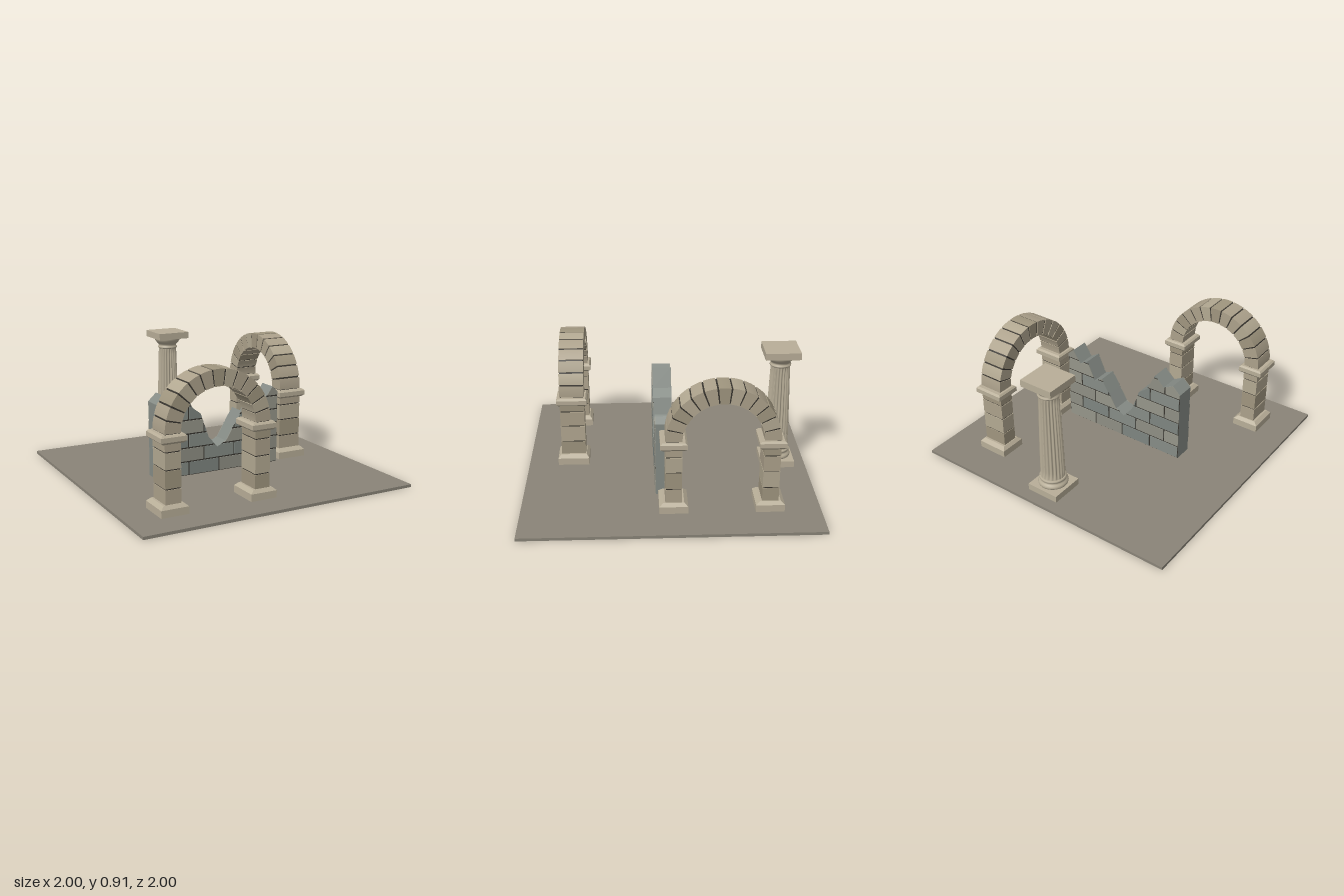
import * as THREE from 'three';

const mat = (color) => new THREE.MeshStandardMaterial({ color, roughness: 0.9 });
const STONE = [0xaca18b, 0xa0967f, 0xb3a992].map(mat);
const TRIM = mat(0xb8ae98);
const MORTAR = mat(0x38352f);
const WALL = [0x868c86, 0x8f8f84, 0x7e8580, 0x96968a].map(mat);
const GROUND = mat(0x8a8478);

function add(parent, name, geometry, material, x = 0, y = 0, z = 0) {
  const mesh = new THREE.Mesh(geometry, material);
  mesh.name = name;
  mesh.position.set(x, y, z);
  parent.add(mesh);
  return mesh;
}

// Box between heights y0 and y1 whose top may differ in size from its bottom
function block(w, d, y0, y1, topW = w, topD = d) {
  const g = new THREE.BoxGeometry(1, y1 - y0, 1);
  const p = g.attributes.position;
  for (let i = 0; i < p.count; i++) {
    const top = p.getY(i) > 0;
    p.setX(i, p.getX(i) * (top ? topW : w));
    p.setZ(i, p.getZ(i) * (top ? topD : d));
  }
  g.translate(0, (y0 + y1) / 2, 0);
  g.computeVertexNormals();
  return g;
}

function extrude(shape, depth, curveSegments = 6) {
  const g = new THREE.ExtrudeGeometry(shape, { depth, bevelEnabled: false, curveSegments });
  return g.translate(0, 0, -depth / 2);
}

function ringSector(r0, r1, a0, a1) {
  const s = new THREE.Shape();
  s.absarc(0, 0, r1, a0, a1, false);
  s.absarc(0, 0, r0, a1, a0, true);
  s.closePath();
  return s;
}

// Round arch on two piers, spanning x
function makeArch() {
  const arch = new THREE.Group();
  const springY = 0.535, rIn = 0.265, rOut = 0.375, depth = 0.174, inset = 0.005;
  const pierX = (rIn + rOut) / 2, pierW = rOut - rIn;
  const courses = [0.085, 0.19, 0.312, 0.425, 0.485];

  for (const side of [-1, 1]) {
    const pier = new THREE.Group();
    pier.name = side < 0 ? 'rightPier' : 'leftPier';
    pier.position.x = side * pierX;
    arch.add(pier);
    add(pier, 'pierBase', block(0.192, 0.224, 0.02, 0.07), TRIM);
    add(pier, 'pierBaseSlope', block(0.192, 0.224, 0.07, 0.092, 0.14, 0.186), TRIM);
    add(pier, 'pierMortar', block(pierW - 2 * inset, depth - 2 * inset, 0.08, 0.49), MORTAR);
    for (let i = 0; i < courses.length - 1; i++) {
      add(pier, 'pierStone', block(pierW, depth, courses[i] + 0.004, courses[i + 1] - 0.004),
        STONE[(i + (side > 0 ? 1 : 0)) % 3]);
    }
    add(pier, 'capitalUnderside', block(0.14, 0.19, 0.479, 0.493, 0.176, 0.216), TRIM);
    add(pier, 'capital', block(0.176, 0.216, 0.493, 0.524), TRIM);
    add(pier, 'capitalTop', block(0.176, 0.216, 0.524, 0.536, 0.15, 0.196), TRIM);
  }

  // Wedge stones over a slightly recessed mortar ring
  add(arch, 'archMortar', extrude(ringSector(rIn + inset, rOut - inset, 0, Math.PI), depth - 2 * inset, 40),
    MORTAR, 0, springY);
  const count = 13, step = Math.PI / count, gap = 0.015;
  for (let i = 0; i < count; i++) {
    add(arch, 'archStone', extrude(ringSector(rIn, rOut, i * step + gap, (i + 1) * step - gap), depth),
      STONE[(i * 2 + (i >> 2)) % 3], 0, springY);
  }
  return arch;
}

// Broken top edge of the wall
const EDGE = [[-0.485, 0.555], [-0.425, 0.61], [-0.35, 0.57], [-0.278, 0.64], [-0.212, 0.505],
  [-0.147, 0.455], [-0.085, 0.28], [-0.016, 0.2], [0.055, 0.232], [0.118, 0.335], [0.183, 0.437],
  [0.248, 0.402], [0.312, 0.54], [0.378, 0.5], [0.442, 0.59], [0.485, 0.55]];

function edgeHeight(x) {
  for (let i = 1; i < EDGE.length; i++) {
    const [xa, ya] = EDGE[i - 1], [xb, yb] = EDGE[i];
    if (x <= xb) return ya + (yb - ya) * (x - xa) / (xb - xa);
  }
  return EDGE[EDGE.length - 1][1];
}

// Rectangles cut off by the broken edge; a dip can split one in two
function cutBrick(x0, x1, y0, y1) {
  const xs = [x0, x1];
  EDGE.forEach(([xa, ya], i) => {
    xs.push(xa);
    if (i === EDGE.length - 1) return;
    const [xb, yb] = EDGE[i + 1];
    for (const y of [y0, y1]) {
      const t = (y - ya) / (yb - ya);
      if (t > 0 && t < 1) xs.push(xa + (xb - xa) * t);
    }
  });
  const inside = xs.filter((x) => x >= x0 && x <= x1).sort((a, b) => a - b)
    .filter((x, i, all) => i === 0 || x - all[i - 1] > 1e-5);
  const shapes = [];
  let run = [];
  const close = () => {
    if (run.length > 1) {
      const pts = [[run[0][0], y0], [run[run.length - 1][0], y0], ...run.slice().reverse()]
        .filter(([x, y], i, all) => i < 2 || y > y0 + 1e-5);
      if (pts.length > 2) shapes.push(new THREE.Shape(pts.map(([x, y]) => new THREE.Vector2(x, y))));
    }
    run = [];
  };
  inside.forEach((x, i) => {
    run.push([x, Math.min(y1, Math.max(y0, edgeHeight(x)))]);
    const next = inside[i + 1];
    if (next !== undefined && edgeHeight((x + next) / 2) <= y0) close();
  });
  close();
  return shapes;
}

function makeWall() {
  const wall = new THREE.Group();
  const half = 0.485, width = half / 2, rowH = 0.1, depth = 0.13, skin = 0.005, gap = 0.005;
  const outline = new THREE.Shape([[-half, 0.02], [half, 0.02], ...EDGE.slice().reverse()]
    .map(([x, y]) => new THREE.Vector2(x, y)));
  add(wall, 'wallCore', extrude(outline, depth), [MORTAR, WALL[0]]);
  // Running bond of blocks on both faces
  for (let row = 0; row < 7; row++) {
    const y0 = 0.02 + row * rowH;
    const shift = row % 2 ? -width / 2 : 0;
    for (let col = 0; col < 5; col++) {
      const left = -half + shift + col * width;
      const x0 = Math.max(-half, left + gap), x1 = Math.min(half, left + width - gap);
      if (x1 - x0 < 0.02) continue;
      for (const shape of cutBrick(x0, x1, y0 + gap, y0 + rowH - gap)) {
        for (const side of [-1, 1]) {
          add(wall, 'wallBlock', extrude(shape, skin), WALL[(row * 3 + col * 2 + (col >> 1)) % 4],
            0, 0, side * (depth + skin) / 2);
        }
      }
    }
  }
  return wall;
}

function makeColumn() {
  const column = new THREE.Group();
  const lathe = (pts) => new THREE.LatheGeometry(pts.map(([r, y]) => new THREE.Vector2(r, y)), 40);
  add(column, 'plinth', block(0.24, 0.24, 0.02, 0.068), TRIM);
  add(column, 'columnBase', lathe([[0, 0.068], [0.092, 0.068], [0.101, 0.075], [0.104, 0.085], [0.101, 0.097],
    [0.092, 0.104], [0.088, 0.112], [0.09, 0.118], [0.094, 0.124], [0.093, 0.132], [0.086, 0.138], [0, 0.138]]), TRIM);

  // Fluted, tapering shaft with grooves fading out at both ends
  const y0 = 0.135, y1 = 0.785, flutes = 20;
  const shaft = new THREE.CylinderGeometry(1, 1, y1 - y0, flutes * 6, 24, true);
  const p = shaft.attributes.position;
  for (let i = 0; i < p.count; i++) {
    const t = p.getY(i) / (y1 - y0) + 0.5;
    const a = Math.atan2(p.getZ(i), p.getX(i));
    const fade = Math.min(1, Math.min(t, 1 - t) / 0.06);
    const groove = Math.max(0, Math.abs(Math.sin(a * flutes / 2)) - 0.25) * 0.014 * fade;
    const r = 0.085 - 0.017 * Math.pow(t, 1.3) - groove;
    p.setX(i, Math.cos(a) * r);
    p.setZ(i, Math.sin(a) * r);
  }
  shaft.computeVertexNormals();
  add(column, 'flutedShaft', shaft, TRIM, 0, (y0 + y1) / 2);

  add(column, 'columnCapital', lathe([[0, 0.775], [0.068, 0.775], [0.075, 0.781], [0.075, 0.788], [0.068, 0.795],
    [0.068, 0.804], [0.074, 0.812], [0.086, 0.825], [0.096, 0.838], [0.1, 0.85], [0.1, 0.858], [0, 0.858]]), TRIM);
  add(column, 'abacus', block(0.246, 0.246, 0.857, 0.906), TRIM);
  return column;
}

export function createModel() {
  const model = new THREE.Group();
  model.name = 'ruins';
  add(model, 'ground', block(2, 2, 0, 0.02), GROUND);

  const place = (part, name, x, z, turn = 0) => {
    part.name = name;
    part.position.set(x, 0, z);
    part.rotation.y = turn;
    model.add(part);
  };
  place(makeArch(), 'frontArch', -0.368, 0.677);
  place(makeArch(), 'sideArch', 0.633, -0.337, Math.PI / 2);
  place(makeWall(), 'brokenWall', 0, 0.029);
  place(makeColumn(), 'column', 0.028, -0.795);
  return model;
}
